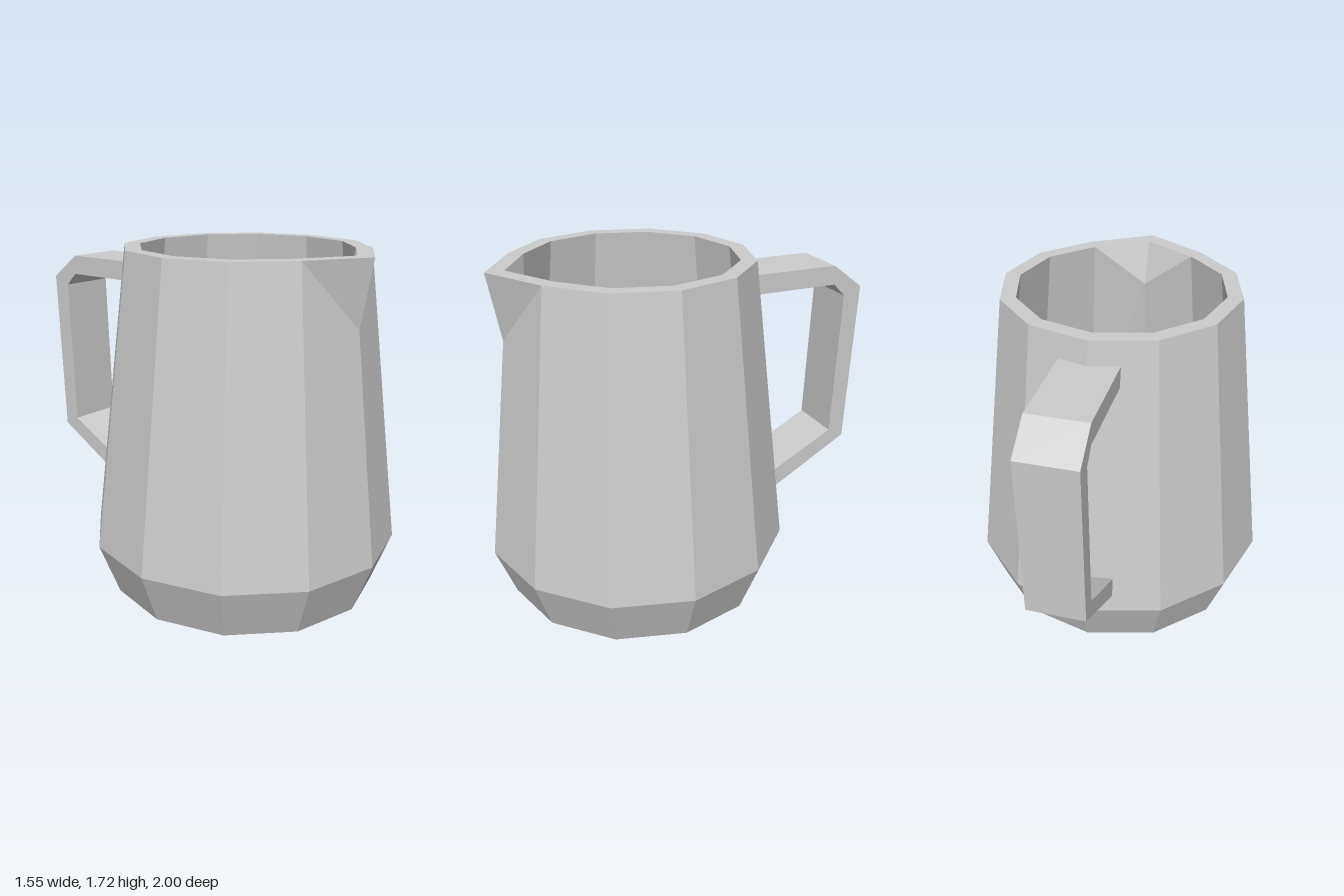
import * as THREE from 'three';

const SIDES = 12;
const BODY_Z = 0.22;

// One ring of corners; the front corner can be moved to form the spout.
function ring(y, r, front) {
  const points = [];
  for (let i = 0; i < SIDES; i++) {
    const a = (i / SIDES) * Math.PI * 2;
    points.push(new THREE.Vector3(r * Math.sin(a), y, r * Math.cos(a)));
  }
  if (front) points[0].set(0, front[0], front[1]);
  return points;
}

// Skin consecutive rings with flat faces, skipping collapsed triangles.
function skin(rings) {
  const positions = [];
  const tri = (...corners) => {
    if (new THREE.Triangle(...corners).getArea() < 1e-6) return;
    corners.forEach((p) => positions.push(p.x, p.y, p.z));
  };
  for (let k = 0; k < rings.length - 1; k++) {
    for (let i = 0; i < SIDES; i++) {
      const j = (i + 1) % SIDES;
      const [a, b, c, d] = [rings[k][i], rings[k][j], rings[k + 1][j], rings[k + 1][i]];
      tri(a, b, c);
      tri(a, c, d);
    }
  }
  const geometry = new THREE.BufferGeometry();
  geometry.setAttribute('position', new THREE.Float32BufferAttribute(positions, 3));
  geometry.computeVertexNormals();
  return geometry;
}

export function createModel() {
  const model = new THREE.Group();
  model.name = 'pitcher';
  const grey = new THREE.MeshStandardMaterial({ color: 0xcccccc, flatShading: true });
  grey.name = 'light grey';

  // Hollow body: base, outer wall, spout, rim, inner wall and floor
  const body = new THREE.Mesh(skin([
    ring(0, 0),
    ring(0, 0.675),
    ring(0.26, 0.775),
    ring(1.72, 0.6, [1.39, 0.64]),
    ring(1.72, 0.6, [1.72, 0.7]),
    ring(1.72, 0.522, [1.72, 0.608]),
    ring(1.72, 0.522, [1.505, 0.53]),
    ring(0.28, 0.695),
    ring(0.08, 0.62),
    ring(0.08, 0),
  ]), grey);
  body.name = 'body';
  body.position.z = BODY_Z;
  model.add(body);

  // Handle: side outline as [distance behind centre, height], extruded across x
  const outline = [
    [0.358, 1.6], [0.374, 1.5], [0.84, 1.5], [0.904, 1.435], [0.876, 0.665], [0.49, 0.457],
    [0.503, 0.355], [0.963, 0.62], [1, 1.475], [0.835, 1.6],
  ];
  const shape = new THREE.Shape(outline.map(([x, y]) => new THREE.Vector2(x, y)));
  const width = 0.29;
  const handleGeometry = new THREE.ExtrudeGeometry(shape, { depth: width, bevelEnabled: false });
  handleGeometry.translate(0, 0, -width / 2);
  handleGeometry.rotateY(Math.PI / 2);
  const handle = new THREE.Mesh(handleGeometry, grey);
  handle.name = 'handle';
  model.add(handle);

  return model;
}
